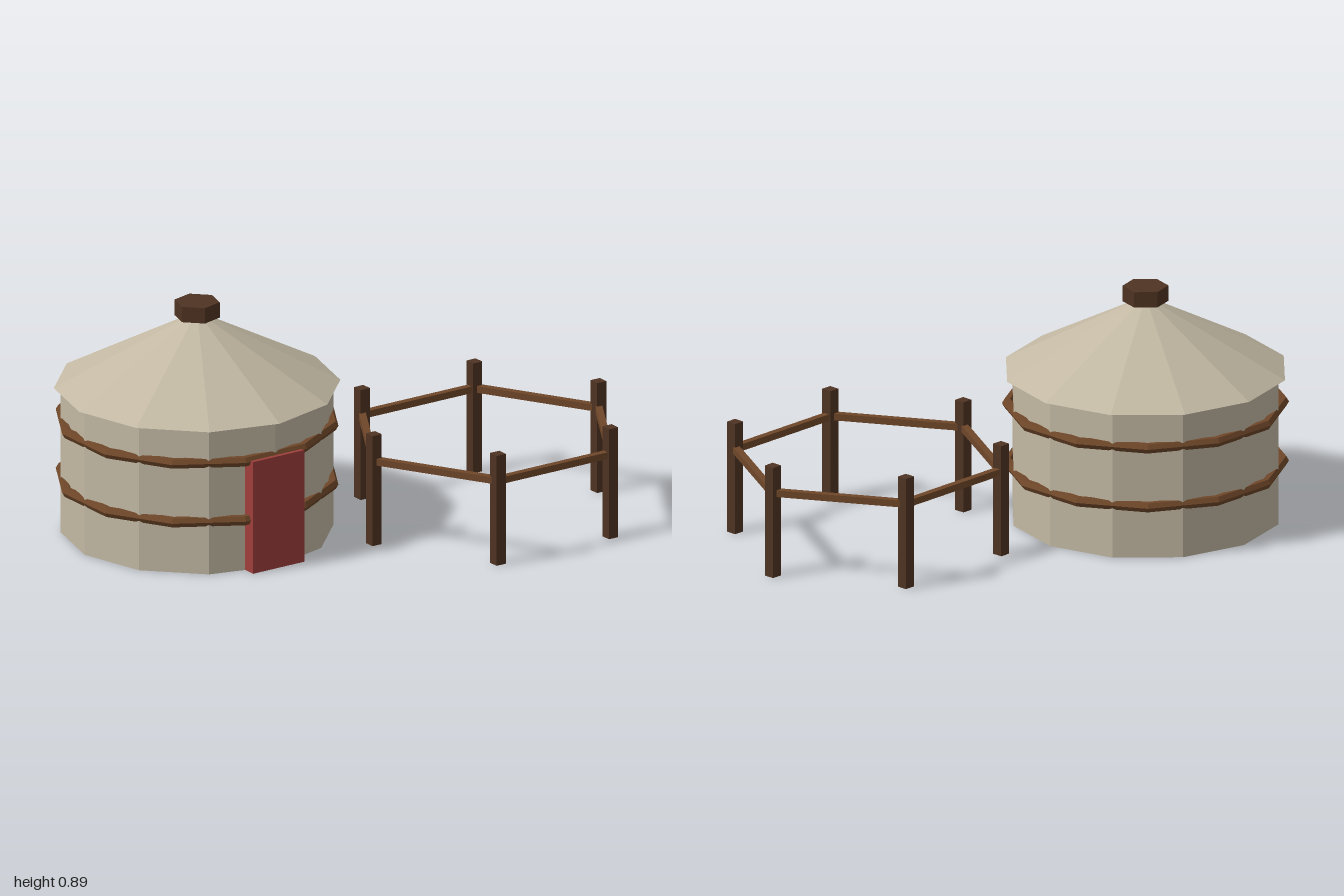
import * as THREE from 'three';

const paint = (name, color) => {
  const m = new THREE.MeshStandardMaterial({ color, flatShading: true });
  m.name = name;
  return m;
};

export function createModel() {
  const felt = paint('felt', 0xc2b8a3);
  const darkWood = paint('dark wood', 0x4e3322);
  const lightWood = paint('light wood', 0x6f4729);
  const red = paint('red door', 0x9e3f3b);

  const model = new THREE.Group();
  model.name = 'roundTentWithPen';
  const add = (parent, name, geometry, material, x = 0, y = 0, z = 0) => {
    const mesh = new THREE.Mesh(geometry, material);
    mesh.name = name;
    mesh.position.set(x, y, z);
    parent.add(mesh);
    return mesh;
  };

  // Tent: twelve-sided wall, cone roof and hexagonal crown
  const tent = new THREE.Group();
  tent.name = 'tent';
  tent.position.set(-0.47, 0, -0.22);
  model.add(tent);
  add(tent, 'wall', new THREE.CylinderGeometry(0.505, 0.505, 0.565, 12), felt, 0, 0.2825);
  add(tent, 'roof', new THREE.ConeGeometry(0.53, 0.285, 12), felt, 0, 0.7075);
  add(tent, 'crown', new THREE.CylinderGeometry(0.085, 0.085, 0.06, 6), darkWood, 0, 0.86)
    .rotation.y = Math.PI / 4;
  add(tent, 'door', new THREE.BoxGeometry(0.23, 0.437, 0.08), red, 0, 0.2185, 0.485);

  // Ropes: twelve-sided rings whose corners sit over the middle of each wall panel
  const rope = new THREE.TorusGeometry(0.509, 0.02, 6, 12).rotateX(Math.PI / 2).rotateY(Math.PI / 12);
  for (const y of [0.204, 0.434]) add(tent, 'rope', rope, lightWood, 0, y);

  // Pen: six square posts joined by rails
  const pen = new THREE.Group();
  pen.name = 'pen';
  pen.position.set(0.473, 0, 0.29);
  model.add(pen);
  const radius = 0.505;
  const post = new THREE.BoxGeometry(0.042, 0.43, 0.042);
  const rail = new THREE.BoxGeometry(0.026, 0.026, radius);
  const railDistance = radius * Math.cos(Math.PI / 6);
  for (let i = 0; i < 6; i++) {
    const a = i * Math.PI / 3, b = a + Math.PI / 6;
    add(pen, 'post', post, darkWood, radius * Math.cos(a), 0.215, radius * Math.sin(a));
    add(pen, 'rail', rail, lightWood, railDistance * Math.cos(b), 0.325, railDistance * Math.sin(b))
      .rotation.y = -b;
  }
  return model;
}
